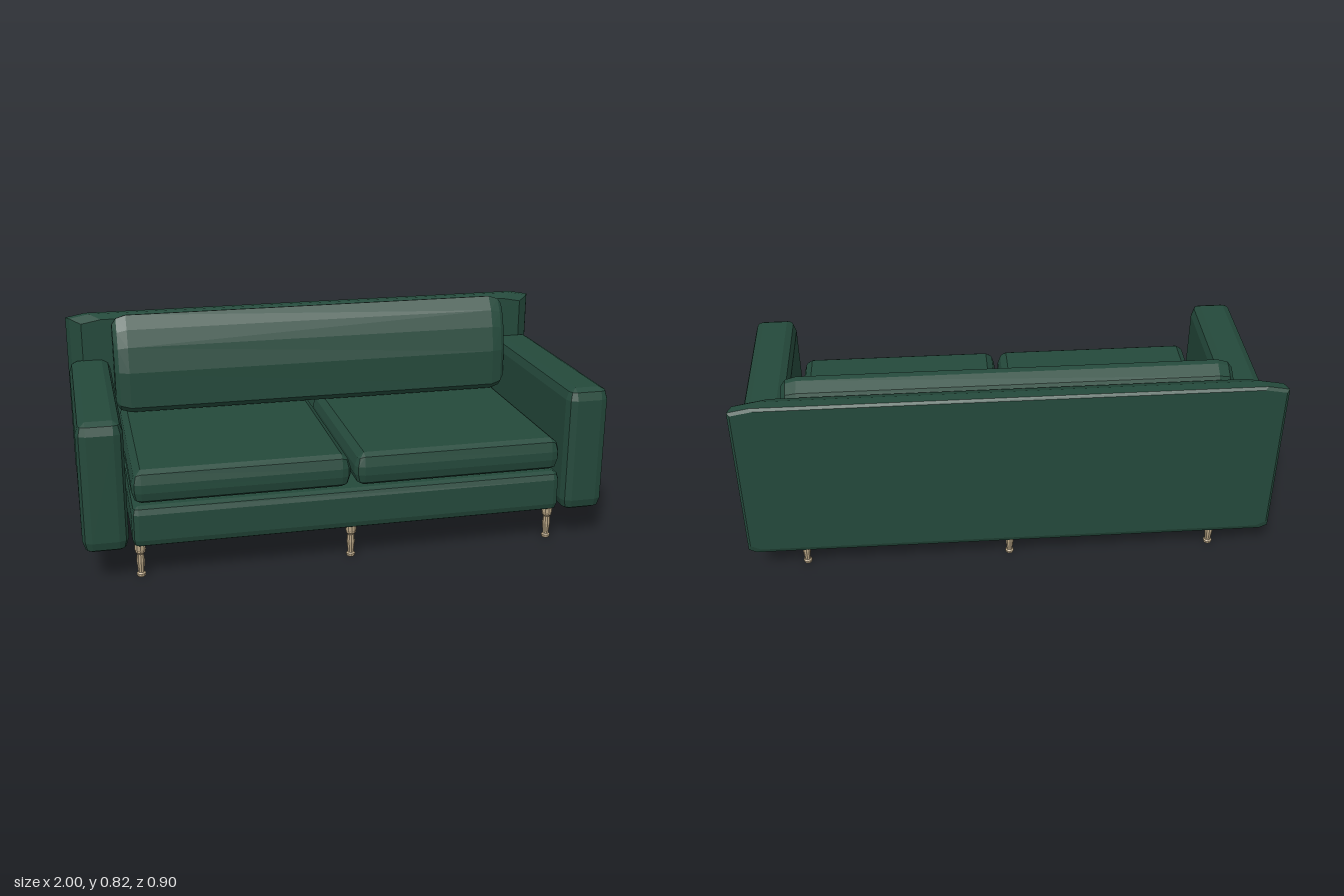
import * as THREE from 'three';
import { ConvexGeometry } from 'three/addons/geometries/ConvexGeometry.js';

const V = (x, y, z) => new THREE.Vector3(x, y, z);

// Box with soft two-step edges; min and max are opposite corners, bevel is [x, y, z]
function softBox(min, max, bevel) {
  const points = [];
  const steps = [0, Math.PI / 4, Math.PI / 2];
  for (const sx of [-1, 1]) for (const sy of [-1, 1]) for (const sz of [-1, 1]) {
    for (const a of steps) for (const b of steps) {
      const dir = [Math.cos(a) * Math.cos(b), Math.sin(a), Math.cos(a) * Math.sin(b)];
      const p = [sx, sy, sz].map((s, i) => {
        const face = s > 0 ? max[i] : min[i];
        return face - s * bevel[i] * (1 - dir[i]);
      });
      points.push(V(...p));
    }
  }
  return new ConvexGeometry(points);
}

// Hull through a list of outlines
const hull = (rings) => new ConvexGeometry(rings.flat());

export function createModel() {
  const sofa = new THREE.Group();
  sofa.name = 'sofa';
  const fabric = new THREE.MeshStandardMaterial({ color: 0x24493b });
  fabric.name = 'green fabric';
  const wood = new THREE.MeshStandardMaterial({ color: 0xb5a283 });
  wood.name = 'pale wood';

  const add = (name, geometry, material = fabric) => {
    const mesh = new THREE.Mesh(geometry, material);
    mesh.name = name;
    sofa.add(mesh);
    return mesh;
  };

  // Seat base
  add('seatBase', softBox([-0.82, 0.128, -0.375], [0.82, 0.287, 0.438], [0.025, 0.03, 0.025]));

  // Arms and seat cushions, mirrored
  for (const s of [-1, 1]) {
    const side = s > 0 ? 'left' : 'right';
    const span = (a, b) => (s > 0 ? [a, b] : [-b, -a]);

    const [a0, a1] = span(0.832, 0.998);
    add(side + 'Arm', softBox([a0, 0.124, -0.41], [a1, 0.618, 0.45], [0.035, 0.045, 0.035]));

    const [c0, c1] = span(0.008, 0.815);
    const cushion = softBox([c0, 0.296, -0.36], [c1, 0.418, 0.44], [0.035, 0.045, 0.03]);
    // Slight crown across the top
    const pos = cushion.attributes.position;
    const middle = (c0 + c1) / 2;
    for (let i = 0; i < pos.count; i++) {
      if (pos.getY(i) > 0.4 && Math.abs(pos.getX(i) - middle) < 0.375) pos.setY(i, pos.getY(i) + 0.006);
    }
    cushion.computeVertexNormals();
    add(side + 'SeatCushion', cushion);
  }

  // Back panel: full width at the rear, narrowing towards the front
  const panelRing = (z, w, bottom, top, cut) => [-1, 1].flatMap((s) => [
    V(s * (w - cut), bottom, z), V(s * w, bottom + cut * 0.5, z),
    V(s * w, top - 0.015, z), V(s * (w - 0.08), top, z),
  ]);
  add('backPanel', hull([
    panelRing(-0.453, 0.99, 0.145, 0.79, 0.04),
    panelRing(-0.445, 1.0, 0.126, 0.8, 0.03),
    panelRing(-0.41, 0.985, 0.135, 0.802, 0.03),
    panelRing(-0.372, 0.94, 0.15, 0.786, 0.03),
  ]));

  // Back cushion: leaning side profile as [z, y], shrunk towards both ends
  const profile = [
    [-0.225, 0.432], [-0.203, 0.455], [-0.204, 0.6], [-0.225, 0.7], [-0.25, 0.767],
    [-0.288, 0.82], [-0.31, 0.816], [-0.355, 0.792], [-0.369, 0.76],
    [-0.355, 0.62], [-0.332, 0.46], [-0.31, 0.432],
  ];
  const cushionRing = (x, k) => profile.map(([z, y]) =>
    V(x, 0.62 + (y - 0.62) * (0.4 + 0.6 * k), -0.285 + (z + 0.285) * k));
  add('backCushion', hull([
    cushionRing(-0.822, 0.7), cushionRing(-0.805, 0.9), cushionRing(-0.765, 1),
    cushionRing(0.765, 1), cushionRing(0.805, 0.9), cushionRing(0.822, 0.7),
  ]));

  // Turned legs: three in front, three behind
  const legProfile = [
    [0, 0], [0.014, 0], [0.017, 0.006], [0.017, 0.012], [0.012, 0.017], [0.012, 0.025],
    [0.016, 0.06], [0.013, 0.09], [0.019, 0.098], [0.019, 0.104], [0.021, 0.108],
    [0.021, 0.135], [0, 0.135],
  ].map(([r, y]) => new THREE.Vector2(r, y));
  const legGeometry = new THREE.LatheGeometry(legProfile, 10).toNonIndexed();
  legGeometry.computeVertexNormals();
  for (const z of [0.39, -0.372]) for (const x of [-0.793, 0, 0.793]) {
    add(z > 0 ? 'frontLeg' : 'backLeg', legGeometry, wood).position.set(x, 0, z);
  }

  return sofa;
}
